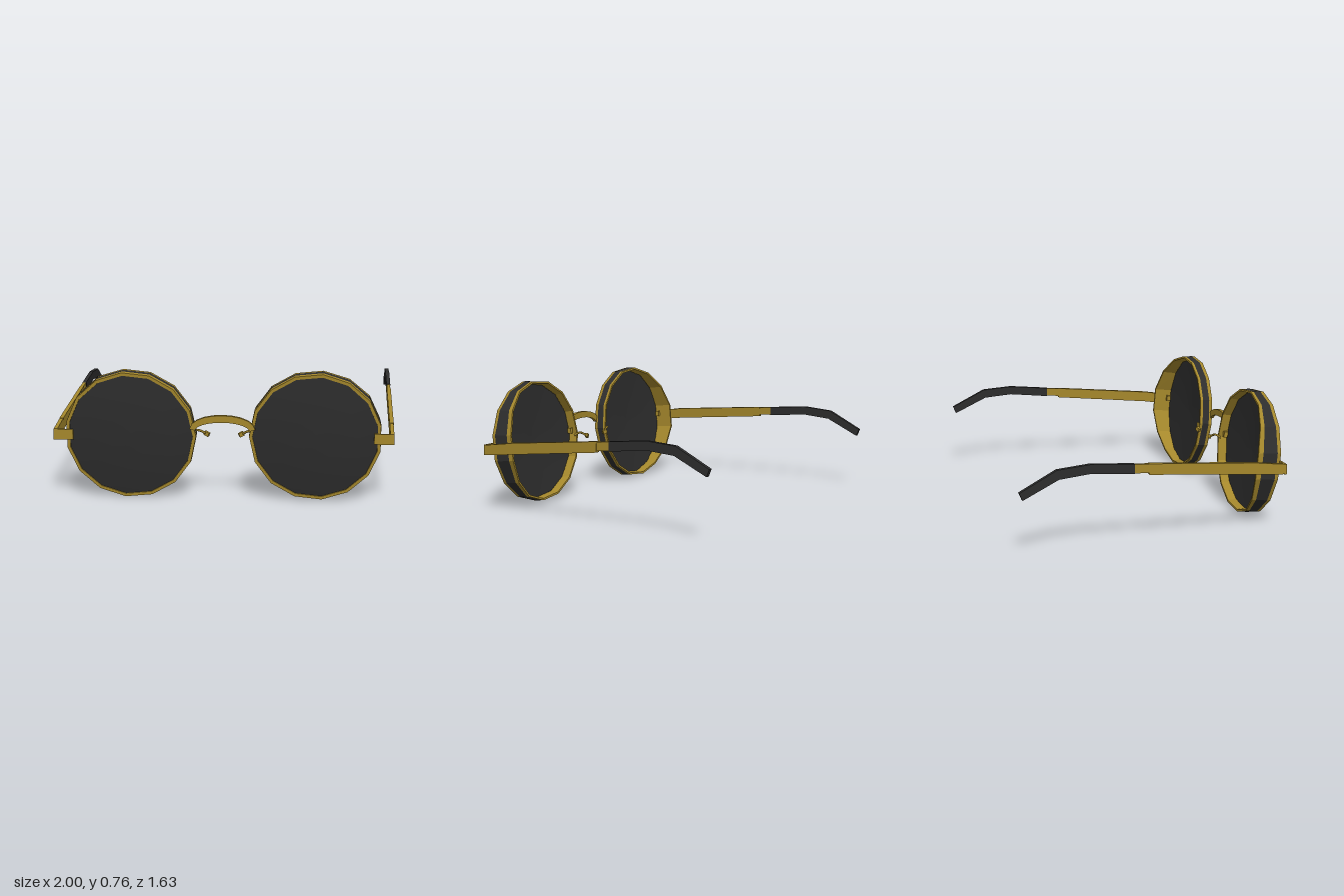
import * as THREE from 'three';

const gold = new THREE.MeshStandardMaterial({ color: 0xa5882c });
gold.name = 'gold metal';
const black = new THREE.MeshStandardMaterial({ color: 0x2d2d2d });
black.name = 'dark lens and plastic';

const SIDES = 15;

function add(parent, name, geometry, material, x = 0, y = 0, z = 0) {
  const mesh = new THREE.Mesh(geometry, material);
  mesh.name = name;
  mesh.position.set(x, y, z);
  parent.add(mesh);
  return mesh;
}

// Sweeps a profile of [radius, z, flare share] around the lens axis, with a
// corner towards the nose and a flat side outwards (s = +1 or -1).
// The flare pushes the outer side backwards as a side shield.
function ring(profile, s, smooth = false) {
  const positions = [], index = [];
  const start = s > 0 ? Math.PI : 0;
  for (const [r, z, k = 0] of profile) {
    for (let i = 0; i < SIDES; i++) {
      const a = start + (i / SIDES) * Math.PI * 2;
      const flare = 0.065 * Math.max(0, s * Math.cos(a)) ** 2.5;
      positions.push(r * Math.cos(a), r * Math.sin(a), z - k * flare);
    }
  }
  for (let p = 0; p < profile.length - 1; p++) {
    for (let i = 0; i < SIDES; i++) {
      const j = (i + 1) % SIDES, a = p * SIDES, b = a + SIDES;
      index.push(a + i, b + i, b + j, a + i, b + j, a + j);
    }
  }
  let g = new THREE.BufferGeometry();
  g.setAttribute('position', new THREE.Float32BufferAttribute(positions, 3));
  g.setIndex(index);
  if (!smooth) g = g.toNonIndexed();
  g.computeVertexNormals();
  return g;
}

// Flat plate with a [z, y] outline, centred across x
function sidePlate(points, width) {
  const shape = new THREE.Shape(points.map(([z, y]) => new THREE.Vector2(z, y)));
  const g = new THREE.ExtrudeGeometry(shape, { depth: width, bevelEnabled: false });
  return g.translate(0, 0, -width / 2).rotateY(-Math.PI / 2);
}

function eyepiece(s) {
  const g = new THREE.Group();
  g.name = s > 0 ? 'leftEyepiece' : 'rightEyepiece';
  g.position.set(s * 0.529, 0.379 + s * 0.003, 0.77);
  g.rotation.x = 0.09;
  add(g, 'frontRim', ring([[0.355, -0.03], [0.359, 0], [0.377, 0], [0.379, -0.022]], s), gold);
  add(g, 'sideWall', ring([[0.379, -0.022], [0.376, -0.064, 0.75]], s), black);
  add(g, 'backRim', ring([[0.376, -0.064, 0.75], [0.376, -0.082, 0.97],
    [0.364, -0.082, 0.97], [0.357, -0.028, 0]], s), gold);
  add(g, 'lensFront', ring([[0, 0.018], [0.13, 0.016], [0.25, 0.009], [0.359, -0.005]], s, true), black);
  add(g, 'lensBack', ring([[0.358, -0.029], [0.2, -0.018], [0, -0.011]], s, true), black);
  // small fixing tabs inside the shield
  for (const side of [1, -1]) {
    add(g, 'fixingTab', new THREE.BoxGeometry(0.02, 0.036, 0.025), gold, side * s * 0.342, 0.018, -0.045);
  }
  return g;
}

function temple(s) {
  const g = new THREE.Group();
  g.name = s > 0 ? 'leftTemple' : 'rightTemple';
  g.position.set(s * 0.962, 0.383, 0.777);
  g.rotation.set(0.0105 * s, -0.017 * s - 0.004, 0);
  const part = (name, points, width, material) =>
    add(g, name, sidePlate(points, width), material, 0, -0.385, -0.775);
  part('hinge', [[0.775, 0.353], [0.775, 0.413], [0.6, 0.435], [0.6, 0.367]], 0.022, gold);
  part('templeBar', [[0.605, 0.369], [0.605, 0.437], [-0.06, 0.497], [-0.06, 0.434]], 0.024, gold);
  part('templeNeck', [[-0.05, 0.443], [-0.05, 0.494], [-0.17, 0.504], [-0.17, 0.452]], 0.02, gold);
  part('earTip', [[-0.145, 0.447], [-0.145, 0.503], [-0.4, 0.526], [-0.59, 0.512], [-0.803, 0.403],
    [-0.785, 0.36], [-0.58, 0.458], [-0.4, 0.473]], 0.024, black);
  return g;
}

function nosePad(s) {
  const g = new THREE.Group();
  g.name = s > 0 ? 'leftNosePad' : 'rightNosePad';
  const path = new THREE.CatmullRomCurve3([[0.175, 0.375, 0.7], [0.16, 0.392, 0.675],
    [0.135, 0.387, 0.668], [0.105, 0.368, 0.655]].map(([x, y, z]) => new THREE.Vector3(s * x, y, z)));
  add(g, 'padArm', new THREE.TubeGeometry(path, 10, 0.007, 6), gold);
  const pad = add(g, 'pad', new THREE.BoxGeometry(0.03, 0.024, 0.018), gold, s * 0.1, 0.367, 0.655);
  pad.rotation.set(0, s * 0.4, s * 0.4);
  return g;
}

export function createModel() {
  const model = new THREE.Group();
  model.name = 'roundSunglasses';
  const frame = new THREE.Group();
  frame.name = 'frame';
  frame.position.x = -0.0125;
  frame.rotation.y = -0.0135;
  model.add(frame);

  for (const s of [1, -1]) {
    frame.add(eyepiece(s), temple(s), nosePad(s));
    // plate joining rim and temple
    add(frame, 'endPiece', new THREE.BoxGeometry(0.113, 0.061, 0.012), gold, s * 0.917, 0.381 + s * 0.002, 0.775);
  }

  // Arched bridge
  const arch = new THREE.Shape();
  arch.moveTo(-0.188, 0.425);
  arch.bezierCurveTo(-0.175, 0.533, 0.175, 0.533, 0.188, 0.425);
  arch.lineTo(0.16, 0.418);
  arch.bezierCurveTo(0.125, 0.481, -0.125, 0.481, -0.16, 0.418);
  arch.closePath();
  add(frame, 'bridge', new THREE.ExtrudeGeometry(arch, { depth: 0.022, bevelEnabled: false, curveSegments: 10 }),
    gold, 0, 0, 0.764);
  return model;
}
